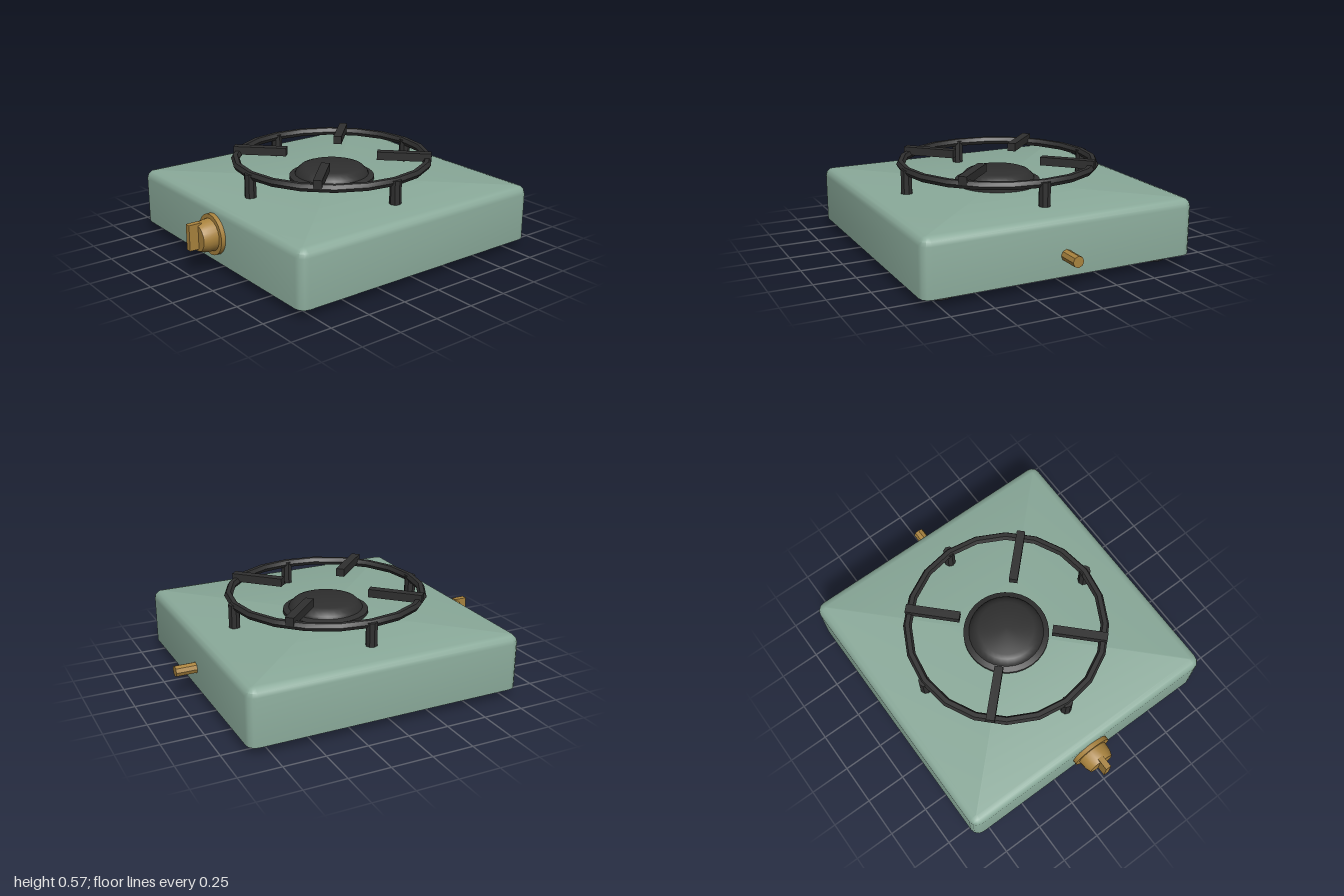
import * as THREE from 'three';
import { toCreasedNormals } from 'three/addons/utils/BufferGeometryUtils.js';

const enamel = new THREE.MeshStandardMaterial({ color: 0x8aaa9a, name: 'green enamel' });
const iron = new THREE.MeshStandardMaterial({ color: 0x2f2f2f, name: 'black iron' });
const brass = new THREE.MeshStandardMaterial({ color: 0xa9833e, name: 'brass' });

const CZ = -0.022; // the stove body sits slightly behind centre
const crease = (g, angle = 0.6) => toCreasedNormals(g, angle);

function add(parent, name, geometry, material, x = 0, y = 0, z = 0) {
  const mesh = new THREE.Mesh(geometry, material);
  mesh.name = name;
  mesh.position.set(x, y, z);
  parent.add(mesh);
  return mesh;
}

function lathe(profile, sides) {
  return crease(new THREE.LatheGeometry(profile.map(([r, y]) => new THREE.Vector2(r, y)), sides));
}

// Box with rounded upright corners and top edges, and a flat sharp bottom
function bodyGeometry(half, y0, y1, corner, bevel, steps) {
  const rings = [[0, y0]];
  for (let i = 0; i <= steps; i++) {
    const a = (i / steps) * Math.PI / 2;
    rings.push([bevel * (1 - Math.cos(a)), y1 - bevel * (1 - Math.sin(a))]);
  }
  const points = [];
  const n = 4 * (steps + 1);
  for (const [inset, y] of rings) {
    for (let q = 0; q < 4; q++) {
      const sx = q === 0 || q === 3 ? 1 : -1;
      const sz = q < 2 ? 1 : -1;
      for (let i = 0; i <= steps; i++) {
        const a = (q + i / steps) * Math.PI / 2;
        points.push(
          sx * (half - corner) + (corner - inset) * Math.cos(a), y,
          sz * (half - corner) + (corner - inset) * Math.sin(a));
      }
    }
  }
  const bottom = points.length / 3;
  points.push(0, y0, 0, 0, y1, 0);
  const top = bottom + 1;
  const last = (rings.length - 1) * n;
  const index = [];
  for (let i = 0; i < n; i++) {
    const j = (i + 1) % n;
    for (let r = 0; r < rings.length - 1; r++) {
      const a = r * n + i, b = r * n + j;
      index.push(a, a + n, b, b, a + n, b + n);
    }
    index.push(bottom, i, j, top, last + j, last + i);
  }
  const g = new THREE.BufferGeometry();
  g.setAttribute('position', new THREE.Float32BufferAttribute(points, 3));
  g.setIndex(index);
  return crease(g);
}

export function createModel() {
  const stove = new THREE.Group();
  stove.name = 'camping stove';

  add(stove, 'body', bodyGeometry(0.85, 0.05, 0.388, 0.055, 0.05, 3), enamel, 0, 0, CZ);

  // Feet
  const footGeometry = crease(new THREE.CylinderGeometry(0.074, 0.074, 0.055, 10));
  for (const sx of [-1, 1]) {
    for (const sz of [-1, 1]) {
      add(stove, 'foot', footGeometry, iron, sx * 0.685, 0.0275, CZ + sz * 0.685);
    }
  }

  // Burner: stepped base with a domed cap
  add(stove, 'burner', lathe([
    [0.262, 0.38], [0.262, 0.408], [0.228, 0.42], [0.222, 0.434],
    [0.195, 0.46], [0.17, 0.469], [0, 0.471],
  ], 32), iron, 0, 0, CZ);

  // Pan support: ring, four legs and four diagonal bars
  const support = new THREE.Group();
  support.name = 'panSupport';
  support.position.z = CZ;
  stove.add(support);
  const ring = add(support, 'supportRing', crease(new THREE.TorusGeometry(0.592, 0.026, 6, 20)), iron, 0, 0.52, 0);
  ring.rotation.x = Math.PI / 2;
  const legGeometry = crease(new THREE.CylinderGeometry(0.035, 0.035, 0.15, 8));
  const barGeometry = new THREE.BoxGeometry(0.33, 0.05, 0.052);
  for (let i = 0; i < 4; i++) {
    const a = i * Math.PI / 2;
    add(support, 'supportLeg', legGeometry, iron, 0.597 * Math.cos(a), 0.456, 0.597 * Math.sin(a));
    const b = a + Math.PI / 4;
    const bar = add(support, 'supportBar', barGeometry, iron, 0.445 * Math.cos(b), 0.545, 0.445 * Math.sin(b));
    bar.rotation.y = -b;
  }

  // Control knob: flange, tapered grip and pointer
  const knob = new THREE.Group();
  knob.name = 'knob';
  knob.position.set(0, 0.22, 0.82);
  stove.add(knob);
  const grip = add(knob, 'knobGrip', lathe([
    [0.123, 0], [0.123, 0.035], [0.097, 0.035], [0.092, 0.09], [0.08, 0.123], [0, 0.123],
  ], 24), brass);
  grip.rotation.x = Math.PI / 2;
  add(knob, 'knobPointer', new THREE.BoxGeometry(0.036, 0.155, 0.08), brass, 0, 0.015, 0.14);

  // Gas inlet at the back
  const inlet = add(stove, 'gasInlet', crease(new THREE.CylinderGeometry(0.034, 0.034, 0.15, 8)), brass, 0, 0.174, -0.925);
  inlet.rotation.x = Math.PI / 2;

  return stove;
}
